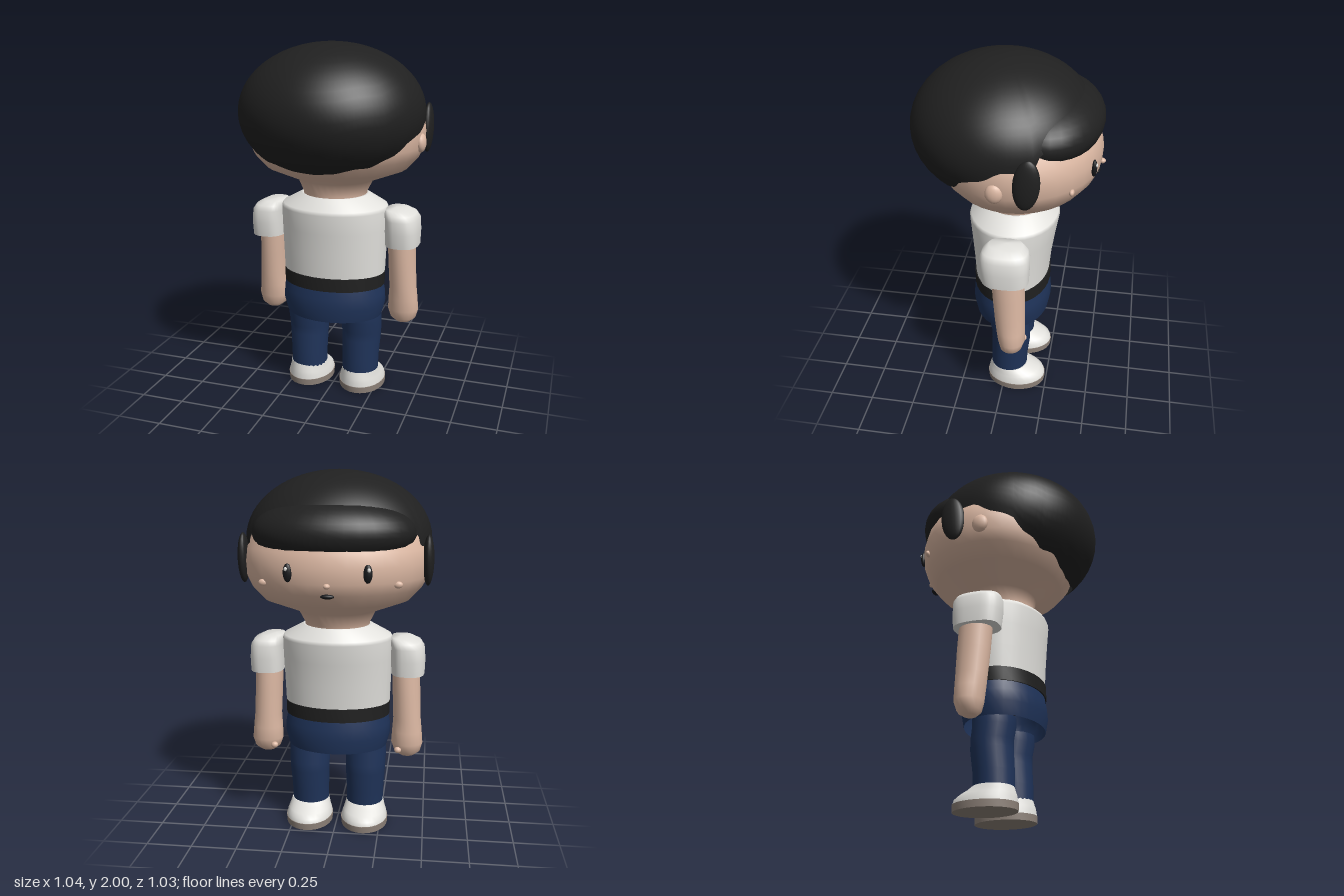
import * as THREE from 'three';

const mat = (name, color, side = THREE.FrontSide) => {
  const m = new THREE.MeshStandardMaterial({ color, side });
  m.name = name;
  return m;
};

// Closed-around surface: rows go upward, columns go round from +z towards +x
function surface(rows, cols, point) {
  const pos = [], idx = [];
  for (let i = 0; i < rows; i++)
    for (let j = 0; j < cols; j++) pos.push(...point(i, (j / cols) * Math.PI * 2));
  for (let i = 0; i < rows - 1; i++)
    for (let j = 0; j < cols; j++) {
      const k = (j + 1) % cols;
      const a = i * cols + j, b = i * cols + k, c = a + cols, d = b + cols;
      idx.push(a, b, c, b, d, c);
    }
  const g = new THREE.BufferGeometry();
  g.setAttribute('position', new THREE.Float32BufferAttribute(pos, 3));
  g.setIndex(idx);
  g.computeVertexNormals();
  return g;
}

// Rings are [y, centreX, centreZ, radiusX, radiusZ]; a repeated ring makes a hard edge.
// A power below 1 squares off the outline.
function loft(rings, cols = 28, power = 1) {
  const bend = (v) => Math.sign(v) * Math.abs(v) ** power;
  return surface(rings.length, cols, (i, t) => {
    const [y, cx, cz, rx, rz] = rings[i];
    return [cx + rx * bend(Math.sin(t)), y, cz + rz * bend(Math.cos(t))];
  });
}

// Adds flat end caps with hard edges
function capped(rings) {
  const first = rings[0], last = rings[rings.length - 1];
  const close = (r) => [r[0], r[1], r[2], 0, 0];
  return [close(first), first, ...rings, last, close(last)];
}

export function createModel() {
  const skin = mat('skin', 0xdcb8a3);
  const hair = mat('hairBlack', 0x202020, THREE.DoubleSide);
  const dark = mat('faceBlack', 0x17181b);
  const white = mat('shirtWhite', 0xe2e1dd);
  const blue = mat('trouserBlue', 0x1f3359, THREE.DoubleSide);
  const soleGrey = mat('soleGrey', 0x8f837a);

  const model = new THREE.Group();
  model.name = 'standingFigure';
  const add = (name, geo, material) => {
    const m = new THREE.Mesh(geo, material);
    m.name = name;
    model.add(m);
    return m;
  };
  const blob = (name, p, r, material, seg = 14) => {
    const m = add(name, new THREE.SphereGeometry(1, seg, Math.ceil(seg * 0.7)), material);
    m.position.set(...p);
    m.scale.set(...r);
    return m;
  };

  // Head with neck
  add('head', loft([
    [1.15, 0, -0.035, 0.18, 0.175], [1.18, 0, -0.035, 0.18, 0.175],
    [1.25, 0, -0.045, 0.215, 0.2], [1.32, 0, -0.055, 0.4, 0.355],
    [1.39, 0, -0.055, 0.465, 0.412], [1.45, 0, -0.055, 0.493, 0.435],
    [1.53, 0, -0.055, 0.5, 0.44], [1.6, 0, -0.055, 0.49, 0.422],
    [1.72, 0, -0.055, 0.43, 0.37], [1.85, 0, -0.04, 0.28, 0.25], [1.92, 0, 0, 0, 0],
  ], 32), skin);

  // Hair cap: an ellipsoid cut along a hairline given as [degrees from the back, y]
  const line = [[0, 1.345], [20, 1.355], [35, 1.385], [48, 1.385], [55, 1.42], [66, 1.45], [70, 1.5],
    [77, 1.525], [88, 1.55], [96, 1.6], [117, 1.6], [121, 1.69], [180, 1.72]];
  const edgeY = (t) => {
    let a = THREE.MathUtils.radToDeg(t);
    if (a > 180) a = 360 - a;
    const k = Math.max(1, line.findIndex((p) => p[0] >= a - 1e-6));
    const [a0, y0] = line[k - 1], [a1, y1] = line[k];
    return y0 + ((y1 - y0) * (a - a0)) / (a1 - a0);
  };
  const rows = 18;
  add('hairCap', surface(rows, 96, (i, t) => {
    const low = Math.asin((edgeY(t) - 1.63) / 0.37);
    const f = low + (Math.PI / 2 - low) * (i / (rows - 1));
    const r = Math.cos(f);
    return [0.508 * r * Math.sin(t), 1.63 + 0.37 * Math.sin(f), 0.03 + 0.488 * r * Math.cos(t)];
  }), hair);

  // Fringe bulging over the forehead
  blob('fringe', [0, 1.685, -0.2], [0.43, 0.185, 0.295], hair, 32);

  // Face centre
  blob('nose', [0, 1.445, -0.493], [0.018, 0.014, 0.018], skin);
  blob('mouth', [0, 1.39, -0.47], [0.035, 0.012, 0.016], dark);

  // Torso, belt and hips
  add('shirt', loft([
    [0.72, 0, -0.02, 0, 0], [0.72, 0, -0.02, 0.295, 0.21], [0.72, 0, -0.02, 0.295, 0.21],
    [0.85, 0, -0.022, 0.3, 0.22], [0.98, 0, -0.026, 0.305, 0.235],
    [1.09, 0, -0.03, 0.308, 0.25], [1.11, 0, -0.031, 0.3, 0.243],
    [1.17, 0, -0.035, 0.19, 0.177], [1.17, 0, -0.035, 0.19, 0.177], [1.165, 0, -0.035, 0, 0],
  ], 32), white);
  add('belt', loft(capped([
    [0.65, 0, -0.02, 0.294, 0.218], [0.725, 0, -0.02, 0.296, 0.218],
  ]), 32), hair);
  add('hips', loft([
    [0.465, 0, -0.02, 0.28, 0.212], [0.54, 0, -0.02, 0.3, 0.225],
    [0.6, 0, -0.02, 0.298, 0.22], [0.66, 0, -0.02, 0.286, 0.21],
  ], 32), blue);

  for (const s of [1, -1]) {
    const side = s > 0 ? 'left' : 'right';

    // Head details
    blob(side + 'Ear', [s * 0.488, 1.48, 0], [0.028, 0.052, 0.045], skin);
    const burn = blob(side + 'Sideburn', [s * 0.492, 1.54, -0.157], [0.03, 0.135, 0.067], hair, 20);
    burn.rotation.x = -0.08;
    blob(side + 'Eye', [s * 0.2, 1.505, -0.46], [0.023, 0.047, 0.015], dark);
    blob(side + 'EyeHighlight', [s * 0.207, 1.525, -0.472], [0.009, 0.011, 0.007], white, 8);
    blob(side + 'Cheek', [s * 0.345, 1.44, -0.363], [0.024, 0.018, 0.014], skin);

    // Sleeve, arm and hand
    add(side + 'Sleeve', loft([
      [0.9, s * 0.395, -0.04, 0, 0], [0.9, s * 0.395, -0.04, 0.092, 0.125],
      [0.9, s * 0.395, -0.04, 0.092, 0.125], [0.98, s * 0.395, -0.037, 0.095, 0.132],
      [1.05, s * 0.392, -0.037, 0.092, 0.132], [1.08, s * 0.38, -0.037, 0.085, 0.12],
      [1.103, s * 0.36, -0.037, 0.058, 0.09], [1.108, s * 0.35, -0.037, 0, 0],
    ], 28, 0.75), white);
    add(side + 'Arm', loft([
      [0.415, s * 0.4, -0.07, 0, 0], [0.425, s * 0.4, -0.07, 0.04, 0.035],
      [0.45, s * 0.4, -0.072, 0.072, 0.062], [0.5, s * 0.398, -0.075, 0.088, 0.076],
      [0.57, s * 0.397, -0.07, 0.083, 0.08], [0.64, s * 0.396, -0.065, 0.077, 0.083],
      [0.78, s * 0.39, -0.058, 0.077, 0.088], [0.92, s * 0.385, -0.05, 0.077, 0.09],
    ], 20), skin);
    blob(side + 'Thumb', [s * 0.35, 0.47, -0.135], [0.02, 0.018, 0.018], skin);

    // Leg
    add(side + 'Leg', loft(capped([
      [0.1, s * 0.158, -0.025, 0.105, 0.105], [0.2, s * 0.159, -0.027, 0.107, 0.108],
      [0.31, s * 0.161, -0.036, 0.113, 0.112], [0.36, s * 0.162, -0.036, 0.115, 0.112],
      [0.43, s * 0.163, -0.025, 0.117, 0.115], [0.48, s * 0.163, -0.025, 0.115, 0.115],
    ]), 24), blue);

    // Shoe and sole
    add(side + 'Shoe', loft(capped([
      [0.035, s * 0.16, -0.07, 0.132, 0.17], [0.06, s * 0.16, -0.068, 0.128, 0.165],
      [0.08, s * 0.16, -0.057, 0.12, 0.15], [0.1, s * 0.16, -0.04, 0.113, 0.126],
      [0.12, s * 0.16, -0.028, 0.107, 0.108],
    ]), 28), white);
    add(side + 'Sole', loft(capped([
      [0, s * 0.16, -0.07, 0.133, 0.17], [0.037, s * 0.16, -0.07, 0.135, 0.173],
    ]), 28), soleGrey);
  }
  return model;
}
